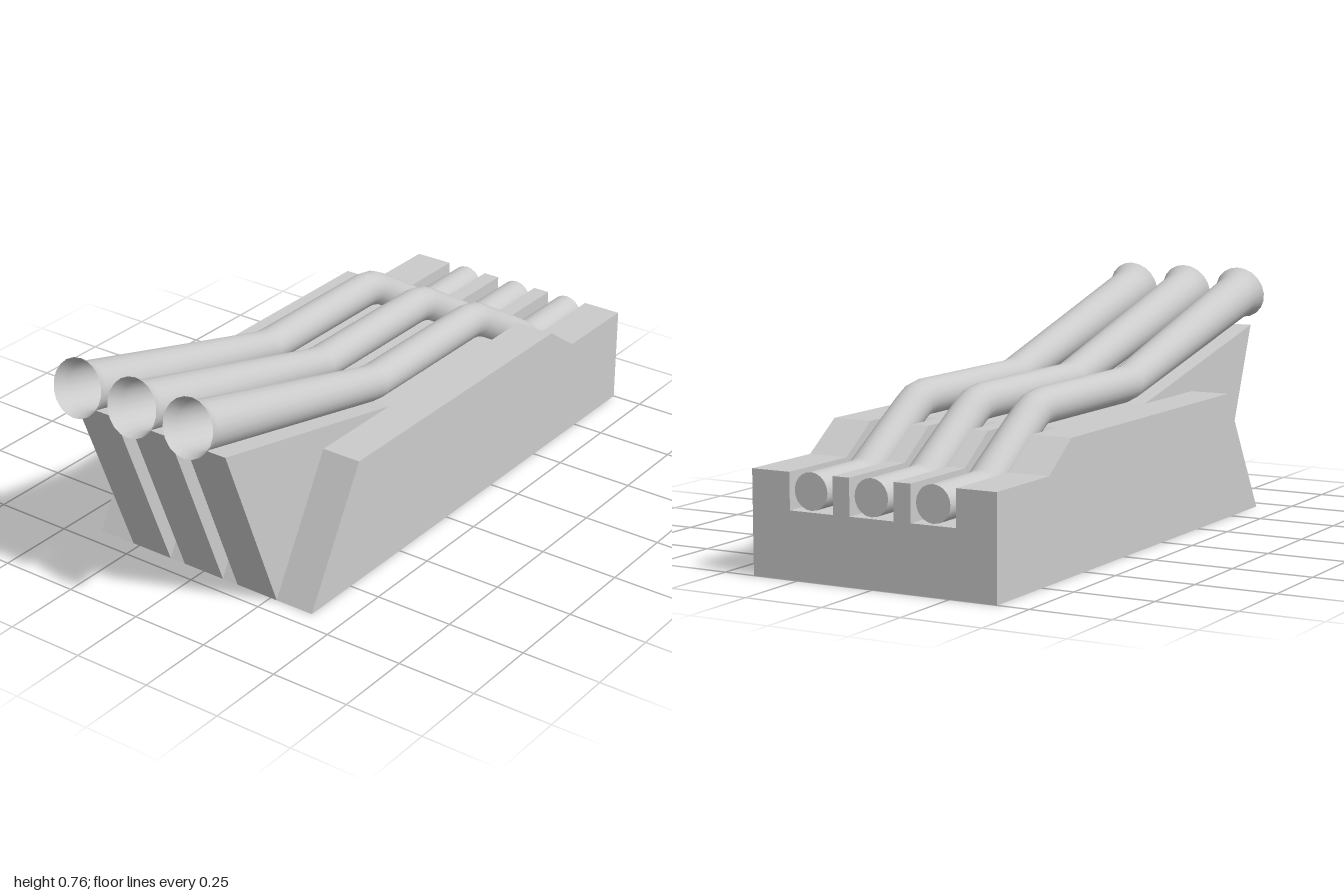
import * as THREE from 'three';

const material = new THREE.MeshStandardMaterial({ color: 0xcccccc });
const openMaterial = new THREE.MeshStandardMaterial({ color: 0xcccccc, side: THREE.DoubleSide });

const LANES = [-0.2, 0, 0.2];
const SLOT = 0.0725; // half width of a groove
const SIDES = 20;

// Side profile (x, y) extruded from z0 to z1
function slab(name, points, z0, z1) {
  const shape = new THREE.Shape(points.map(([x, y]) => new THREE.Vector2(x, y)));
  const geometry = new THREE.ExtrudeGeometry(shape, { depth: z1 - z0, bevelEnabled: false });
  geometry.translate(0, 0, z0);
  const mesh = new THREE.Mesh(geometry, material);
  mesh.name = name;
  return mesh;
}

// Round tube through [x, y, radius] stations, mitred at every bend
function tubeGeometry(stations) {
  const pts = stations.map(([x, y]) => new THREE.Vector2(x, y));
  const position = [], index = [];
  pts.forEach((p, i) => {
    const before = p.clone().sub(pts[Math.max(i - 1, 0)]).normalize();
    const after = pts[Math.min(i + 1, pts.length - 1)].clone().sub(p).normalize();
    const t = before.clone().add(after).normalize();
    const miter = 1 / t.dot(i ? before : after);
    const r = stations[i][2];
    for (let j = 0; j < SIDES; j++) {
      const a = (j / SIDES) * Math.PI * 2;
      const k = r * miter * Math.cos(a);
      position.push(p.x - t.y * k, p.y + t.x * k, r * Math.sin(a));
      if (i < pts.length - 1) {
        const a0 = i * SIDES + j, a1 = i * SIDES + (j + 1) % SIDES;
        index.push(a0, a1, a0 + SIDES, a1, a1 + SIDES, a0 + SIDES);
      }
    }
  });
  const geometry = new THREE.BufferGeometry();
  geometry.setAttribute('position', new THREE.Float32BufferAttribute(position, 3));
  geometry.setIndex(index);
  geometry.computeVertexNormals();
  return geometry;
}

export function createModel() {
  const model = new THREE.Group();
  model.name = 'tripleLauncher';

  // Full-height ribs of the base, between and beside the grooves
  const ribProfile = [[-0.69, 0], [1, 0], [1, 0.31], [0.71, 0.31], [0.58, 0.4], [-0.46, 0.4]];
  const edges = [-0.4, ...LANES.flatMap((z) => [z - SLOT, z + SLOT]), 0.4];
  for (let i = 0; i < edges.length; i += 2) {
    model.add(slab('baseRib', ribProfile, edges[i], edges[i + 1]));
  }

  // Each lane: sunken groove at one end, wedge support at the other
  const laneProfile = [[-0.69, 0], [1, 0], [1, 0.2], [0.72, 0.2], [0.43, 0.4], [-0.13, 0.4], [-0.91, 0.57]];

  // Bent pipe widening to a flared open mouth
  const R = 0.055;
  const pipe = tubeGeometry([
    [1, 0.26, R], [0.755, 0.26, R], [0.727, 0.27, R],
    [0.47, 0.43, R], [0.435, 0.448, R], [0.395, 0.455, R],
    [-0.11, 0.455, R], [-0.15, 0.46, R],
    [-0.938, 0.659, 0.073], [-0.98, 0.67, 0.088],
  ]);
  const cap = new THREE.CircleGeometry(R, SIDES).rotateY(Math.PI / 2).translate(1, 0.26, 0);

  for (const z of LANES) {
    model.add(slab('laneSupport', laneProfile, z - SLOT, z + SLOT));
    const tube = new THREE.Group();
    tube.name = 'flaredPipe';
    const wall = new THREE.Mesh(pipe, openMaterial);
    wall.name = 'pipeWall';
    const end = new THREE.Mesh(cap, material);
    end.name = 'pipeEndCap';
    tube.add(wall, end);
    tube.position.z = z;
    model.add(tube);
  }
  return model;
}
